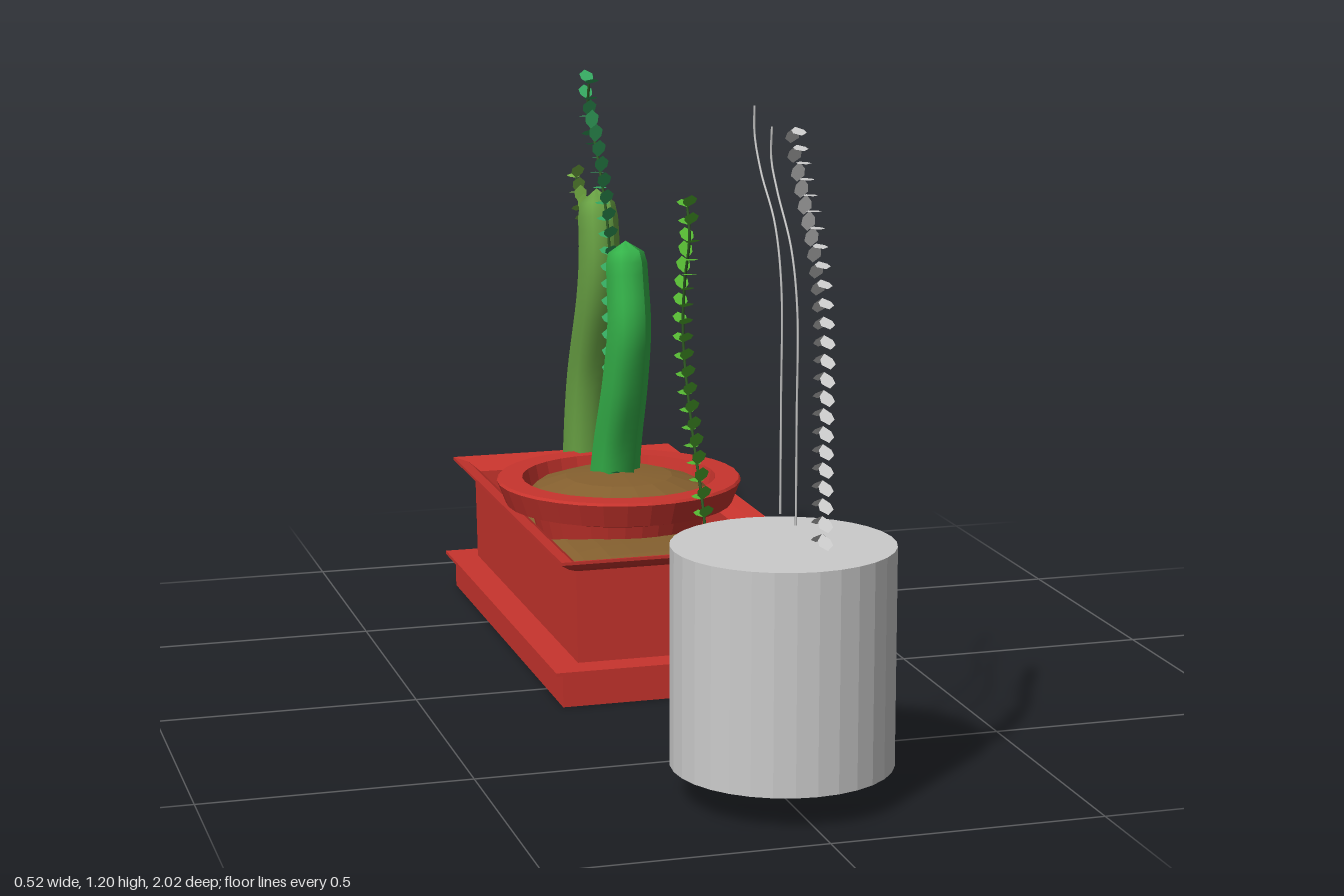
import * as THREE from 'three';
import { mergeGeometries } from 'three/addons/utils/BufferGeometryUtils.js';

const CZ = -0.34; // centre of the planter along z

function mat(color, flat = true, double = false) {
  return new THREE.MeshStandardMaterial({
    color, flatShading: flat, side: double ? THREE.DoubleSide : THREE.FrontSide,
  });
}

function add(group, name, geometry, material, x = 0, y = 0, z = 0) {
  const mesh = new THREE.Mesh(geometry, material);
  mesh.name = name;
  mesh.position.set(x, y, z);
  group.add(mesh);
  return mesh;
}

// Skin of rings (arrays of Vector3, counter-clockwise seen from above)
function skin(rings) {
  const n = rings[0].length, pos = [], index = [];
  rings.forEach(r => r.forEach(p => pos.push(p.x, p.y, p.z)));
  for (let i = 0; i < rings.length - 1; i++) {
    for (let j = 0; j < n; j++) {
      const a = i * n + j, b = i * n + (j + 1) % n;
      index.push(a, b, b + n, a, b + n, a + n);
    }
  }
  const g = new THREE.BufferGeometry();
  g.setAttribute('position', new THREE.Float32BufferAttribute(pos, 3));
  g.setIndex(index);
  g.computeVertexNormals();
  return g;
}

// Rectangular trough: profile of [half width, height]
function trough(profile, extra) {
  return skin(profile.map(([d, y]) =>
    [[1, 1], [1, -1], [-1, -1], [-1, 1]].map(([sx, sz]) =>
      new THREE.Vector3(sx * d, y, sz * (d + extra)))));
}

// Smooth path in the plane of constant x, from [z, y] pairs
function path(points) {
  return new THREE.CatmullRomCurve3(points.map(([z, y]) => new THREE.Vector3(0, y, z)));
}

// Ribbed stalk with a rounded tip
function cactus(points, r0, r1) {
  const curve = path(points), steps = 24, ribs = 6, rings = [];
  const U = new THREE.Vector3(1, 0, 0);
  for (let i = 0; i <= steps; i++) {
    const t = i / steps, p = curve.getPointAt(t);
    const V = curve.getTangentAt(t).cross(U);
    const cap = t > 0.92 ? Math.sqrt(Math.max(0, 1 - ((t - 0.92) / 0.08) ** 2)) : 1;
    const r = THREE.MathUtils.lerp(r0, r1, t) * cap;
    const ring = [];
    for (let j = 0; j < ribs * 2; j++) {
      const a = (j / (ribs * 2)) * Math.PI * 2, q = r * (j % 2 ? 0.74 : 1);
      ring.push(p.clone().addScaledVector(U, q * Math.cos(a)).addScaledVector(V, q * Math.sin(a)));
    }
    rings.push(ring);
  }
  return skin(rings);
}

// Pairs of pointed leaves set along a curve; lift > 0 tilts them to the tip
function leaves(curve, count, length, width, lift) {
  const X = new THREE.Vector3(1, 0, 0), list = [];
  for (let i = 0; i < count; i++) {
    const t = i / (count - 1), p = curve.getPointAt(t), T = curve.getTangentAt(t);
    const side = T.clone().cross(X);
    for (const s of [-1, 1]) {
      const dir = side.clone().multiplyScalar(s * Math.cos(lift)).addScaledVector(T, Math.sin(lift));
      const at = (f, w) => p.clone().addScaledVector(dir, f * length).addScaledVector(X, w * width);
      const outline = [at(0, 0), at(0.35, 0.9), at(0.7, 1), at(1, 0), at(0.7, -1), at(0.35, -0.9)];
      const g = new THREE.BufferGeometry().setFromPoints(outline);
      g.setIndex([0, 1, 5, 1, 2, 4, 1, 4, 5, 2, 3, 4]);
      g.computeVertexNormals();
      list.push(g);
    }
  }
  return mergeGeometries(list);
}

function frond(group, name, points, x, color, count) {
  const curve = path(points), plant = new THREE.Group();
  plant.name = name;
  plant.position.x = x;
  add(plant, name + 'Stem', new THREE.TubeGeometry(curve, 32, 0.003, 5), mat(0x2f5a24, false));
  add(plant, name + 'Leaves', leaves(curve, count, 0.042, 0.014, 0.5), mat(color, true, true));
  group.add(plant);
}

export function createModel() {
  const model = new THREE.Group();
  const red = 0xc8342d, soil = 0x85602f;

  // Long planter with a stepped foot and a moulded rim
  add(model, 'planter', trough([
    [0, 0], [0.24, 0], [0.24, 0.066], [0.258, 0.067], [0.258, 0.074], [0.2, 0.074],
    [0.203, 0.257], [0.222, 0.266], [0.242, 0.28], [0.242, 0.286], [0.215, 0.28],
    [0.193, 0.262], [0.188, 0.17],
  ], 0.228), mat(red, true, true), 0, 0, CZ);

  // Mounded soil in the planter
  const bed = new THREE.PlaneGeometry(0.376, 0.83, 8, 12).rotateX(-Math.PI / 2);
  const bp = bed.attributes.position;
  for (let i = 0; i < bp.count; i++) {
    const u = Math.abs(bp.getX(i)) / 0.188, v = Math.abs(bp.getZ(i)) / 0.415;
    bp.setY(i, 0.245 - 0.035 * u ** 4 - 0.035 * v ** 6);
  }
  add(model, 'planterSoil', bed, mat(soil), 0, 0, CZ);

  // Round pot sunk into the planter
  const lathe = (pts, n) => new THREE.LatheGeometry(pts.map(p => new THREE.Vector2(...p)), n);
  add(model, 'roundPot', lathe([
    [0, 0.12], [0.14, 0.12], [0.18, 0.27], [0.232, 0.284], [0.25, 0.33], [0.246, 0.335],
    [0.198, 0.335], [0.188, 0.29],
  ], 32), mat(red, true, true), 0, 0, CZ);
  add(model, 'roundPotSoil', lathe([
    [0.192, 0.295], [0.17, 0.318], [0.11, 0.337], [0, 0.346],
  ], 16), mat(soil), 0, 0, CZ);

  // Ribbed cacti
  add(model, 'shortCactus', cactus(
    [[-0.38, 0.3], [-0.35, 0.4], [-0.29, 0.54], [-0.258, 0.66], [-0.27, 0.75], [-0.285, 0.83]],
    0.054, 0.042), mat(0x35b34a, false));
  add(model, 'tallCactus', cactus(
    [[-0.605, 0.22], [-0.602, 0.34], [-0.575, 0.5], [-0.5, 0.69], [-0.487, 0.78], [-0.507, 0.905]],
    0.052, 0.042), mat(0x69a244, false));

  // Leafy fronds
  frond(model, 'middleFrond',
    [[-0.35, 0.33], [-0.35, 0.5], [-0.35, 0.68], [-0.375, 0.84], [-0.47, 1.0], [-0.53, 1.06], [-0.52, 1.12]],
    -0.012, 0x35a860, 25);
  frond(model, 'frontFrond',
    [[-0.03, 0.24], [-0.06, 0.33], [-0.14, 0.48], [-0.198, 0.64], [-0.19, 0.75], [-0.155, 0.85], [-0.17, 0.91]],
    0.095, 0x55b832, 21);
  frond(model, 'backFrond',
    [[-0.69, 0.24], [-0.705, 0.36], [-0.73, 0.53], [-0.77, 0.67], [-0.86, 0.76], [-0.965, 0.825], [-0.98, 0.86]],
    0.08, 0x7cba48, 23);

  // Plain grey drum with two wires and a bare frond above it
  const grey = 0xcccccc;
  add(model, 'drum', new THREE.CylinderGeometry(0.198, 0.198, 0.395, 32), mat(grey), 0, 0.2575, 0.735);
  const wires = [
    [[0.825, 0.51], [0.825, 0.7], [0.824, 0.88], [0.79, 0.98], [0.71, 1.07], [0.677, 1.12], [0.68, 1.175]],
    [[0.74, 0.51], [0.74, 0.7], [0.737, 0.91], [0.7, 1.01], [0.62, 1.09], [0.583, 1.15], [0.582, 1.2]],
  ];
  wires.forEach((pts, i) => add(model, 'wire' + (i + 1),
    new THREE.TubeGeometry(path(pts), 40, 0.002, 5), mat(grey, false), -0.008));
  add(model, 'greyFrondLeaves', leaves(path(
    [[0.968, 0.53], [0.968, 0.7], [0.967, 0.88], [0.93, 1.0], [0.86, 1.1], [0.82, 1.16], [0.81, 1.19]]),
  24, 0.038, 0.012, -0.6), mat(grey, true, true), -0.01);

  return model;
}
